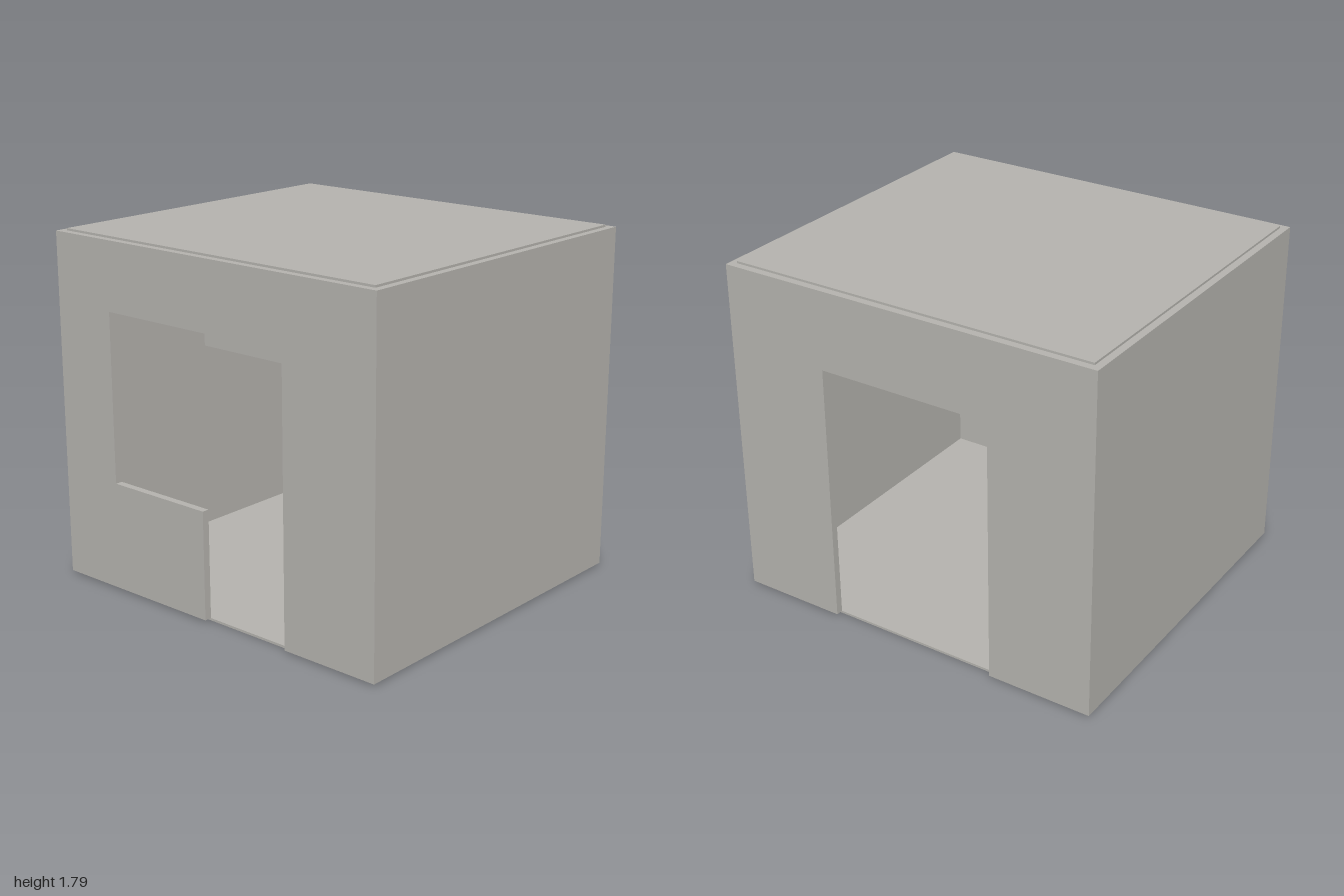
import * as THREE from 'three';

const W = 1, D = 0.922;           // half width and half depth
const T = 0.037;                  // wall thickness
const Y0 = 0.012, Y1 = 1.777;     // wall bottom and top
const TOP = 1.788;                // top of the roof slab

export function createModel() {
  const model = new THREE.Group();
  model.name = 'hut';
  const concrete = new THREE.MeshStandardMaterial({ color: 0xb4b2ad });
  concrete.name = 'warm grey';

  const add = (name, geometry, x, y, z) => {
    const mesh = new THREE.Mesh(geometry, concrete);
    mesh.name = name;
    mesh.position.set(x, y, z);
    model.add(mesh);
  };

  // Wall outline whose bottom edge is notched by the opening
  const wall = (opening) => {
    const points = [[-W, Y0], ...opening, [W, Y0], [W, Y1], [-W, Y1]];
    const shape = new THREE.Shape(points.map(([x, y]) => new THREE.Vector2(x, y)));
    return new THREE.ExtrudeGeometry(shape, { depth: T, bevelEnabled: false });
  };

  // Front wall: doorway joined to a window
  add('frontWall', wall([
    [-0.04, Y0], [-0.04, 0.565], [-0.64, 0.565], [-0.64, 1.43],
    [0, 1.43], [0, 1.375], [0.47, 1.375], [0.47, Y0],
  ]), 0, 0, D - T);

  // Back wall: plain doorway
  add('backWall', wall([
    [-0.453, Y0], [-0.453, 1.375], [0.457, 1.375], [0.457, Y0],
  ]), 0, 0, -D);

  // Closed side walls
  for (const side of [-1, 1]) {
    add(side > 0 ? 'leftWall' : 'rightWall',
      new THREE.BoxGeometry(T, Y1 - Y0, 2 * (D - T)),
      side * (W - T / 2), (Y0 + Y1) / 2, 0);
  }

  // Thin floor and roof slabs, inset from the outer wall faces
  const slab = (name, bottom, top) => add(name,
    new THREE.BoxGeometry(2 * (W - T), top - bottom, 2 * (D - T)),
    0, (bottom + top) / 2, 0);
  slab('floor', 0, Y0);
  slab('roof', Y1, TOP);

  return model;
}
